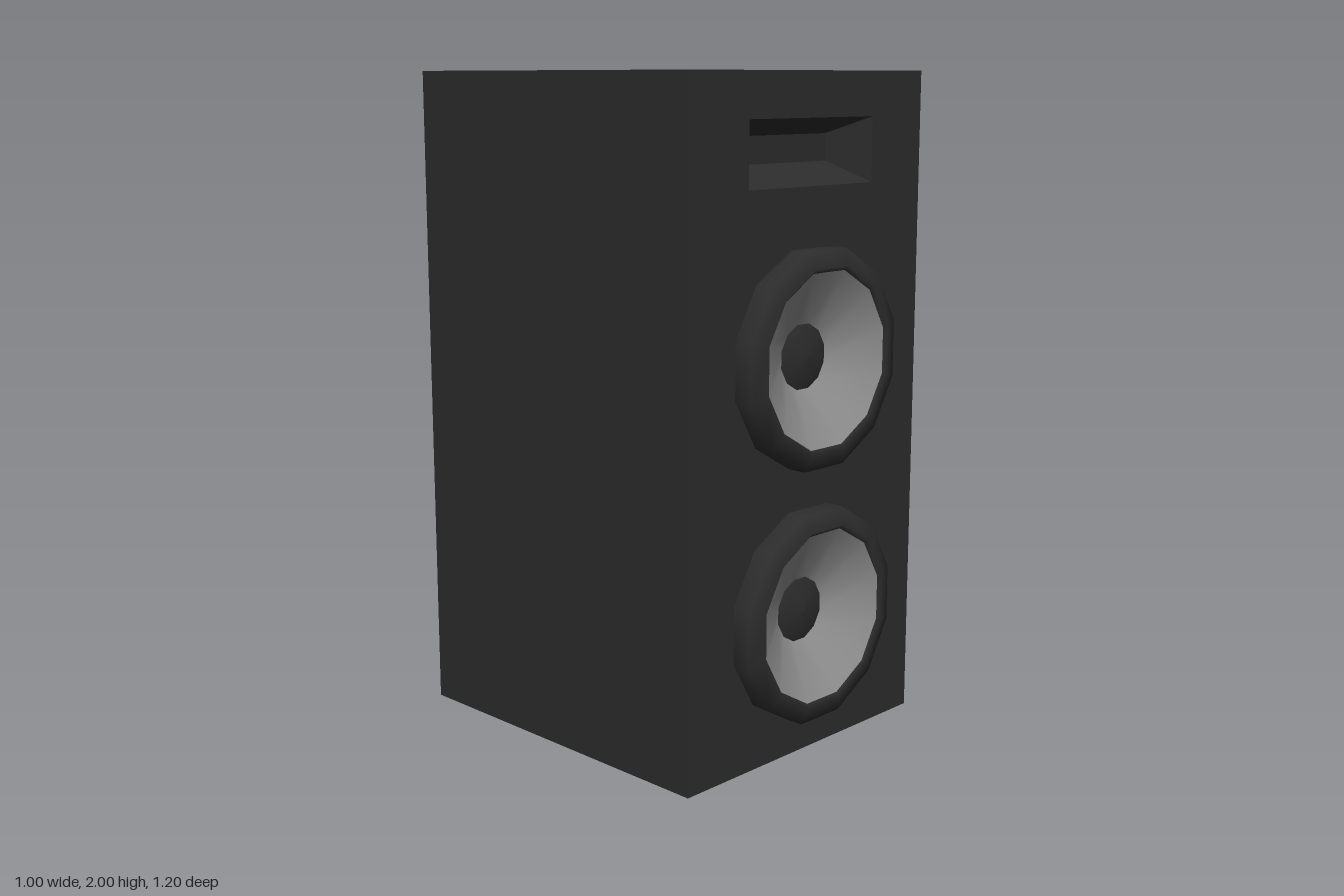
import * as THREE from 'three';

const FRONT = 0.525, BACK = -0.6, BAFFLE = 0.165;
const HORN = { x: 0.27, y0: 1.68, y1: 1.87 };
const DRIVER_Y = [0.43, 1.19];

function makeMaterial(name, color) {
  const m = new THREE.MeshStandardMaterial({ color });
  m.name = name;
  return m;
}

function rectPoints(x, y0, y1) {
  return [[-x, y0], [x, y0], [x, y1], [-x, y1]].map(([a, b]) => new THREE.Vector2(a, b));
}

// Tapered rectangular recess: four walls and a floor
function recessGeometry(outer, zOuter, inner, zInner) {
  const pos = [];
  const o = outer.map((p) => [p.x, p.y, zOuter]);
  const i = inner.map((p) => [p.x, p.y, zInner]);
  const quad = (a, b, c, d) => pos.push(...a, ...b, ...c, ...a, ...c, ...d);
  for (let k = 0; k < 4; k++) {
    const n = (k + 1) % 4;
    quad(o[k], o[n], i[n], i[k]);
  }
  quad(...i);
  const g = new THREE.BufferGeometry();
  g.setAttribute('position', new THREE.Float32BufferAttribute(pos, 3));
  g.computeVertexNormals();
  return g;
}

// Twelve-sided ring of revolution facing +z, with flats at top and sides
function ringGeometry(profile) {
  const pts = profile.map(([r, z]) => new THREE.Vector2(r, z));
  return new THREE.LatheGeometry(pts, 12, Math.PI / 12).rotateX(Math.PI / 2);
}

export function createModel() {
  const group = new THREE.Group();
  const black = makeMaterial('cabinet black', 0x2c2c2c);
  const grey = makeMaterial('cone grey', 0x8e8e8e);
  const add = (parent, name, geometry, material) => {
    const mesh = new THREE.Mesh(geometry, material);
    mesh.name = name;
    parent.add(mesh);
    return mesh;
  };

  // Cabinet body behind the baffle
  const depth = FRONT - BAFFLE - BACK;
  add(group, 'cabinet', new THREE.BoxGeometry(1, 2, depth), black)
    .position.set(0, 1, BACK + depth / 2);

  // Front baffle with openings for the horn and both drivers
  const front = new THREE.Shape(rectPoints(0.5, 0, 2));
  front.holes.push(new THREE.Path(rectPoints(HORN.x, HORN.y0, HORN.y1)));
  for (const y of DRIVER_Y) {
    front.holes.push(new THREE.Path().absarc(0, y, 0.295, 0, Math.PI * 2, true));
  }
  add(group, 'baffle', new THREE.ExtrudeGeometry(front, {
    depth: BAFFLE, bevelEnabled: false, curveSegments: 12,
  }), black).position.z = FRONT - BAFFLE;

  // Horn flange and tapered horn mouth
  const flange = new THREE.Shape(rectPoints(0.45, 1.53, 1.97));
  flange.holes.push(new THREE.Path(rectPoints(HORN.x, HORN.y0, HORN.y1)));
  add(group, 'hornFlange', new THREE.ExtrudeGeometry(flange, {
    depth: 0.004, bevelEnabled: false,
  }), black).position.z = FRONT;
  add(group, 'hornMouth', recessGeometry(
    rectPoints(HORN.x, HORN.y0, HORN.y1), FRONT,
    rectPoints(0.2, 1.74, 1.82), FRONT - 0.12,
  ), black);

  // Drivers: bevelled surround, sunken cone and dust cap
  DRIVER_Y.forEach((y, i) => {
    const driver = new THREE.Group();
    driver.name = i ? 'upperDriver' : 'lowerDriver';
    driver.position.set(0, y, FRONT);
    add(driver, 'surround', ringGeometry([
      [0.326, 0], [0.326, 0.06], [0.275, 0.08], [0.262, 0.068],
    ]), black);
    add(driver, 'cone', ringGeometry([[0.262, 0.068], [0.098, -0.025]]), grey);
    add(driver, 'dustCap', ringGeometry([
      [0.098, -0.025], [0.06, -0.012], [0, -0.006],
    ]), black);
    group.add(driver);
  });

  return group;
}
